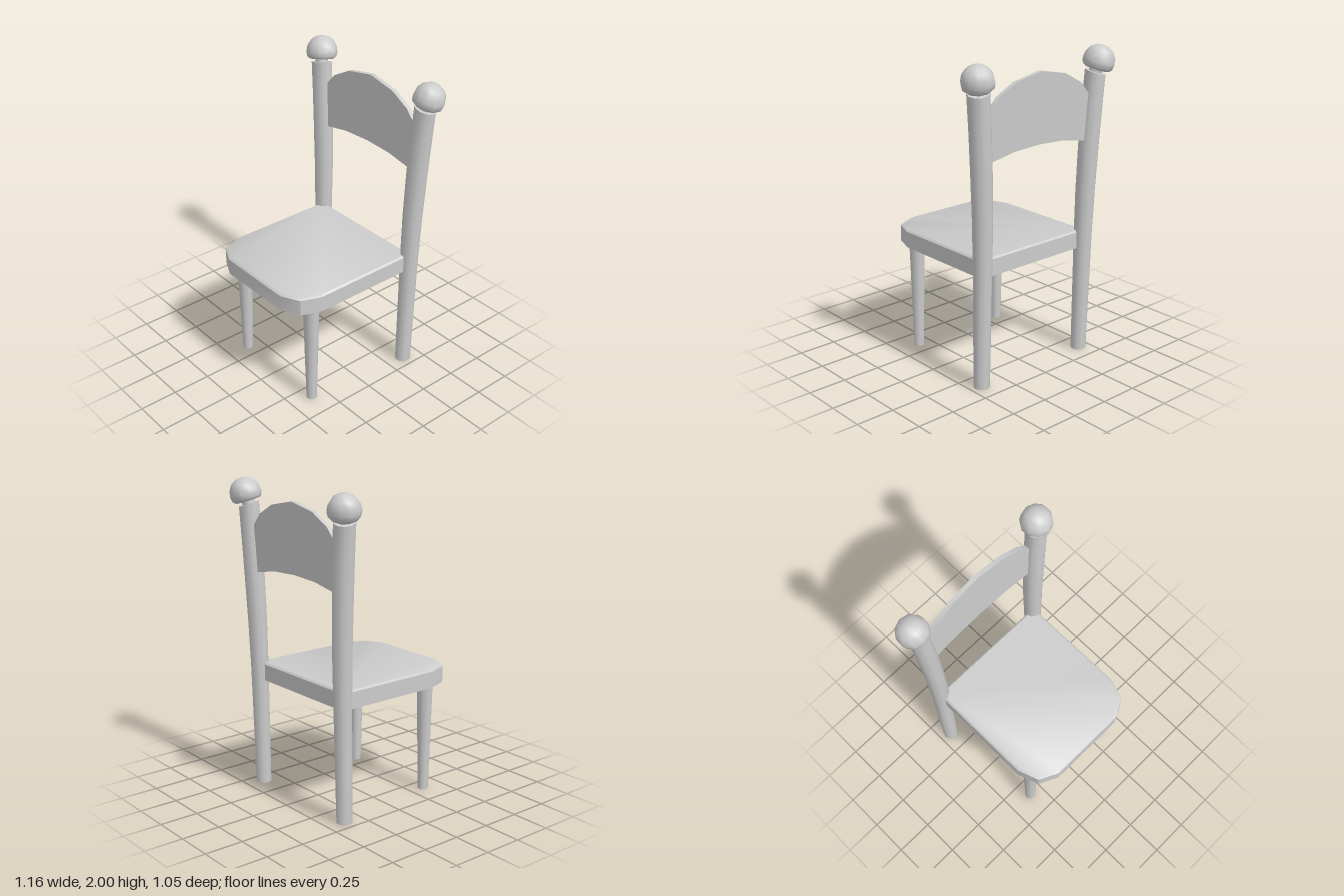
import * as THREE from 'three';
import { toCreasedNormals } from 'three/addons/utils/BufferGeometryUtils.js';

const material = new THREE.MeshStandardMaterial({ color: 0xcccccc, side: THREE.DoubleSide });
const UP = new THREE.Vector3(0, 1, 0);
const SIDES = 10;
const V = (x, y, z) => new THREE.Vector3(x, y, z);

function add(parent, geometry, name, crease = 0.7) {
  const mesh = new THREE.Mesh(toCreasedNormals(geometry, crease), material);
  mesh.name = name;
  parent.add(mesh);
  return mesh;
}

// Skin over a stack of rings, each counterclockwise seen from above
function loft(rings, capTop = false) {
  const pos = [];
  const tri = (...pts) => pts.forEach((p) => pos.push(p.x, p.y, p.z));
  const n = rings[0].length;
  for (let r = 0; r < rings.length - 1; r++) {
    const a = rings[r], b = rings[r + 1];
    for (let i = 0; i < n; i++) {
      const j = (i + 1) % n;
      tri(a[i], a[j], b[j]);
      tri(a[i], b[j], b[i]);
    }
  }
  if (capTop) {
    const top = rings[rings.length - 1];
    for (let i = 1; i < n - 1; i++) tri(top[0], top[i], top[i + 1]);
  }
  const geometry = new THREE.BufferGeometry();
  geometry.setAttribute('position', new THREE.Float32BufferAttribute(pos, 3));
  return geometry;
}

// Circle of points around a centre, square to the given axis
function ring(center, radius, axis) {
  const q = new THREE.Quaternion().setFromUnitVectors(UP, axis.clone().normalize());
  return Array.from({ length: SIDES }, (_, i) => {
    const a = (i / SIDES) * Math.PI * 2;
    return V(Math.cos(a) * radius, 0, -Math.sin(a) * radius).applyQuaternion(q).add(center);
  });
}

// Seat outline with chamfered front corners, shrunk by an inset
function seatRing(y, inset) {
  const half = [[0.43, -0.39], [0.43, 0.33], [0.38, 0.465], [0.26, 0.525]];
  const outline = [...half.map(([x, z]) => [-x, z]), ...half.slice().reverse()];
  const kx = (0.43 - inset) / 0.43;
  const kz = (0.4575 - inset) / 0.4575;
  return outline.map(([x, z]) => V(x * kx, y, 0.0675 + (z - 0.0675) * kz));
}

function backPost(side) {
  const group = new THREE.Group();
  group.name = side > 0 ? 'leftBackPost' : 'rightBackPost';

  // Post that thickens and bows outward: x, y, z, radius
  const axis = V(0.22 * side, 1, -0.2);
  const path = [
    [0.421, 0, -0.375, 0.05],
    [0.422, 0.8, -0.388, 0.058],
    [0.427, 1.1, -0.394, 0.062],
    [0.44, 1.4, -0.4, 0.065],
    [0.453, 1.62, -0.405, 0.066],
    [0.469, 1.835, -0.41, 0.067],
  ];
  const rings = path.map(([x, y, z, r], i) =>
    ring(V(x * side, y, z), r, i === path.length - 1 ? axis : UP));
  add(group, loft(rings, true), 'post');

  // Neck and domed knob
  const profile = [
    [0.04, -0.01], [0.04, 0.025], [0.08, 0.022], [0.094, 0.036], [0.1, 0.065],
    [0.093, 0.105], [0.072, 0.14], [0.04, 0.162], [0, 0.17],
  ].map(([x, y]) => new THREE.Vector2(x, y));
  const knob = add(group, new THREE.LatheGeometry(profile, SIDES), 'knob');
  knob.position.set(0.469 * side, 1.835, -0.41);
  knob.quaternion.setFromUnitVectors(UP, axis.normalize());
  return group;
}

export function createModel() {
  const chair = new THREE.Group();
  chair.name = 'chair';

  // Hollow seat, open underneath
  add(chair, loft([seatRing(0.71, 0), seatRing(0.815, 0), seatRing(0.825, 0.011)], true), 'seat');

  for (const side of [-1, 1]) {
    chair.add(backPost(side));

    // Tapered front leg
    const leg = add(chair, new THREE.CylinderGeometry(0.053, 0.033, 0.8, SIDES, 1, true),
      side > 0 ? 'leftFrontLeg' : 'rightFrontLeg');
    leg.position.set(0.34 * side, 0.4, 0.35);
  }

  // Arched back panel, leaning slightly backward
  const top = [[0.41, 1.7], [0.385, 1.73], [0.33, 1.79], [0.2, 1.86]];
  const bottom = [[0.2, 1.45], [0.41, 1.412]];
  const mirror = (pts) => pts.map(([x, y]) => [-x, y]).reverse();
  const outline = [...top, [0, 1.9], ...mirror(top), ...mirror(bottom), [0, 1.46], ...bottom];
  const shape = new THREE.Shape(outline.map(([x, y]) => new THREE.Vector2(x, y)));
  const panel = new THREE.ExtrudeGeometry(shape, { depth: 0.028, bevelEnabled: false });
  const p = panel.attributes.position;
  for (let i = 0; i < p.count; i++) p.setZ(i, p.getZ(i) - 0.416 - (p.getY(i) - 1.41) * 0.03);
  add(chair, panel, 'backPanel', 0.5);

  return chair;
}
